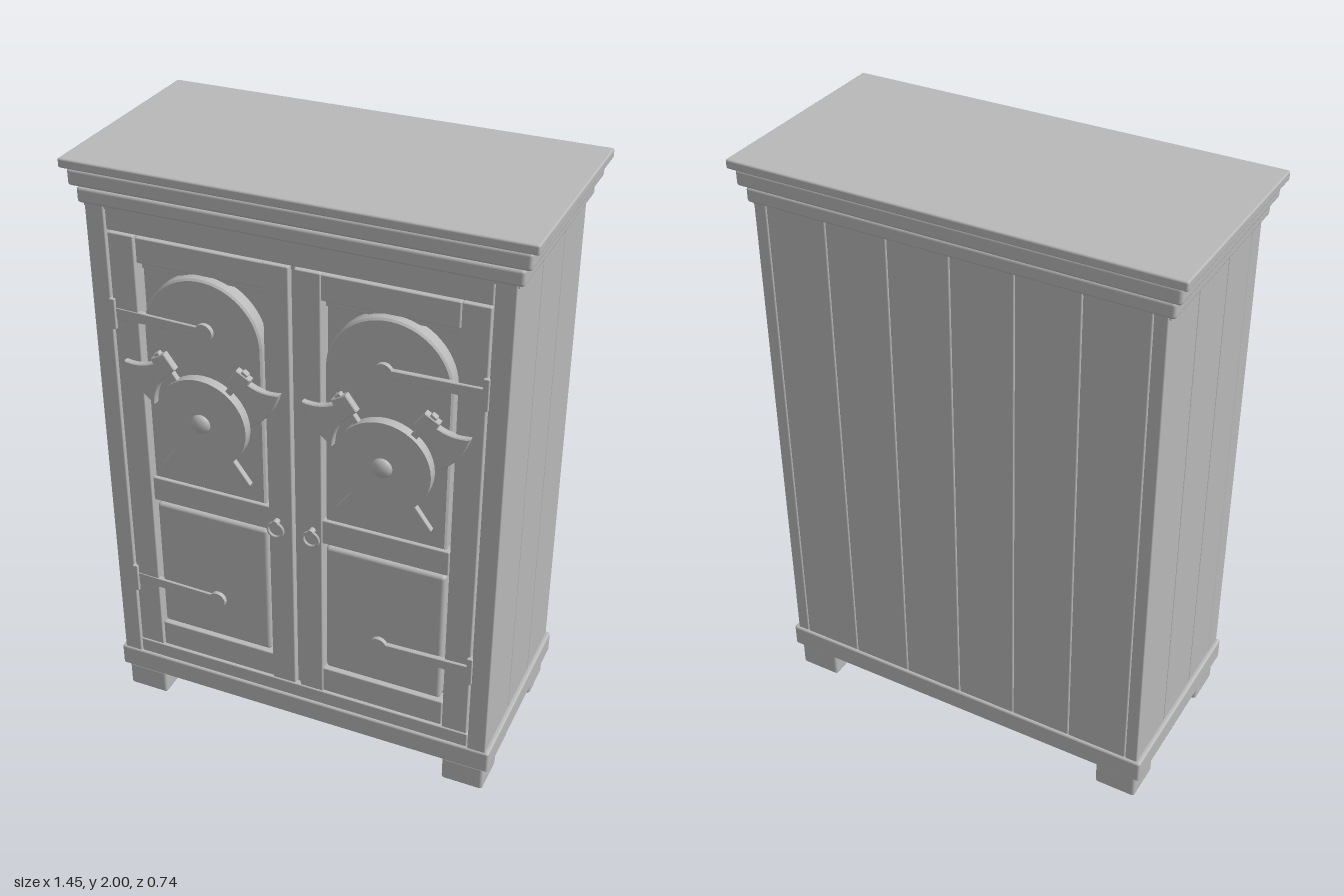
import * as THREE from 'three';
import { RoundedBoxGeometry } from 'three/addons/geometries/RoundedBoxGeometry.js';

export function createModel() {
  const model = new THREE.Group();
  model.name = 'cabinet';
  const grey = new THREE.MeshStandardMaterial({ color: 0xb8b8b8 });
  grey.name = 'plain grey';

  const add = (parent, name, geometry, x = 0, y = 0, z = 0) => {
    const mesh = new THREE.Mesh(geometry, grey);
    mesh.name = name;
    mesh.position.set(x, y, z);
    parent.add(mesh);
    return mesh;
  };
  // Soft-edged block given by its extents on each axis
  const block = (parent, name, [x0, x1], [y0, y1], [z0, z1], r = 0.006) => add(parent, name,
    new RoundedBoxGeometry(Math.abs(x1 - x0), y1 - y0, z1 - z0, 2, r),
    (x0 + x1) / 2, (y0 + y1) / 2, (z0 + z1) / 2);
  // Flat plate with a small chamfer, spanning z0 to z1
  const plate = (parent, name, shape, z0, z1, bevel = 0.003) => add(parent, name,
    new THREE.ExtrudeGeometry(shape, {
      depth: z1 - z0 - 2 * bevel, bevelThickness: bevel, bevelSize: bevel,
      bevelOffset: -bevel, bevelSegments: 1, curveSegments: 24,
    }), 0, 0, z0 + bevel);
  // Disc facing the front
  const disc = (parent, name, r, x, y, z0, z1) => {
    const geometry = new THREE.CylinderGeometry(r, r, z1 - z0, 40).rotateX(Math.PI / 2);
    return add(parent, name, geometry, x, y, (z0 + z1) / 2);
  };

  // Cornice, plinth and feet
  block(model, 'corniceTop', [-0.725, 0.725], [1.97, 2], [-0.37, 0.353]);
  block(model, 'corniceMiddle', [-0.705, 0.705], [1.915, 1.968], [-0.357, 0.343], 0.01);
  block(model, 'corniceLower', [-0.685, 0.685], [1.86, 1.91], [-0.342, 0.332], 0.01);
  block(model, 'corniceCore', [-0.67, 0.67], [1.85, 1.98], [-0.33, 0.32], 0.002);
  block(model, 'plinth', [-0.678, 0.678], [0.1, 0.18], [-0.345, 0.329], 0.008);
  for (const s of [-1, 1]) {
    for (const z of [-0.262, 0.247]) {
      block(model, 'foot', [s * 0.517, s * 0.66], [0.005, 0.097], [z - 0.07, z + 0.07], 0.01);
      block(model, 'footCore', [s * 0.53, s * 0.647], [0, 0.11], [z - 0.057, z + 0.057], 0.002);
    }
  }

  // Carcass core, with boards on the sides and back
  block(model, 'carcass', [-0.652, 0.652], [0.15, 1.88], [-0.325, 0.27], 0.002);
  const boardY = [0.17, 1.87];
  const step = 0.207;
  for (const s of [-1, 1]) {
    for (let i = 0; i < 3; i++) {
      const z = 0.291 - i * step;
      block(model, 'sideBoard', [s * 0.64, s * 0.664], boardY, [z - step + (i === 2 ? -0.006 : 0.001), z - 0.001], 0.004);
    }
    block(model, 'backEdge', [s * 0.622, s * 0.66], boardY, [-0.336, -0.31], 0.004);
    block(model, 'frontPost', [s * 0.603, s * 0.665], boardY, [0.25, 0.324], 0.004);
  }
  for (let i = 0; i < 6; i++) {
    const x = (i - 3) * step;
    block(model, 'backBoard', [x + 0.001, x + step - 0.001], boardY, [-0.336, -0.31], 0.004);
  }
  block(model, 'topRail', [-0.6, 0.6], [1.785, 1.87], [0.25, 0.32], 0.004);
  block(model, 'bottomRail', [-0.6, 0.6], [0.17, 0.231], [0.25, 0.32], 0.004);
  block(model, 'centreStrip', [-0.007, 0.007], [0.235, 1.78], [0.25, 0.305], 0.003);

  // Arched field of the upper panel
  const arch = new THREE.Shape();
  arch.moveTo(-0.197, 0.935);
  arch.lineTo(0.197, 0.935);
  arch.lineTo(0.197, 1.48);
  arch.absarc(0, 1.48, 0.197, 0, Math.PI, false);
  arch.closePath();

  // Axe head, with the handle along y and the blade towards +x
  const head = new THREE.Shape();
  head.moveTo(-0.027, 0.183);
  head.lineTo(0.03, 0.175);
  head.quadraticCurveTo(0.08, 0.165, 0.118, 0.118);
  head.quadraticCurveTo(0.152, 0.2, 0.118, 0.283);
  head.quadraticCurveTo(0.08, 0.242, 0.03, 0.234);
  head.lineTo(0.026, 0.25);
  head.lineTo(-0.027, 0.244);
  head.closePath();

  // Domed boss profile
  const boss = [];
  for (let i = 0; i <= 8; i++) {
    const a = (i / 8) * Math.PI / 2;
    boss.push(new THREE.Vector2(0.033 * Math.cos(a), 0.02 * Math.sin(a)));
  }

  for (const s of [-1, 1]) {
    const door = new THREE.Group();
    door.name = s > 0 ? 'leftDoor' : 'rightDoor';
    model.add(door);

    // Stiles, rails and panels
    block(door, 'outerStile', [s * 0.512, s * 0.597], [0.236, 1.779], [0.25, 0.322], 0.004);
    block(door, 'innerStile', [s * 0.009, s * 0.091], [0.236, 1.779], [0.25, 0.322], 0.004);
    for (const [y0, y1] of [[0.236, 0.332], [0.842, 0.93], [1.692, 1.775]]) {
      block(door, 'doorRail', [s * 0.088, s * 0.508], [y0, y1], [0.25, 0.316], 0.004);
    }
    block(door, 'recessLip', [s * 0.09, s * 0.51], [1.66, 1.692], [0.26, 0.283], 0.003);
    block(door, 'lowerPanel', [s * 0.101, s * 0.499], [0.344, 0.832], [0.25, 0.316], 0.012);
    plate(door, 'archedPanel', arch, 0.262, 0.316, 0.006).position.x = s * 0.3;

    // Strap hinges
    for (const y of [0.503, 1.51]) {
      block(door, 'hingePlate', [s * 0.587, s * 0.606], [y - 0.052, y + 0.052], [0.31, 0.332], 0.003);
      const strap = new THREE.Shape([
        [0.29, -0.013], [0.598, -0.02], [0.598, 0.02], [0.29, 0.013],
      ].map(([x, v]) => new THREE.Vector2(x - 0.44, v)));
      const mesh = plate(door, 'hingeStrap', strap, -0.009, 0.009, 0.002);
      mesh.position.set(s * 0.44, y, 0.313);
      mesh.position.z += 0.002;
      if (s < 0) mesh.rotation.y = Math.PI, mesh.position.z = 0.322;
      else mesh.position.z = 0.315;
      disc(door, 'hingeEnd', 0.029, s * 0.288, y, 0.31, 0.331);
    }

    // Crossed axes behind a round shield
    const crest = new THREE.Group();
    crest.name = 'crest';
    crest.position.set(s * 0.3, 1.203, 0);
    door.add(crest);
    for (const flip of [0, Math.PI]) {
      const axe = new THREE.Group();
      axe.name = 'axe';
      axe.position.z = 0.328;
      axe.rotation.set(0, flip, -0.635);
      crest.add(axe);
      block(axe, 'axeHandle', [-0.011, 0.011], [-0.25, 0.257], [-0.01, 0.01], 0.004);
      const blade = plate(axe, 'axeHead', head, 0, 0.026, 0.003);
      blade.position.z = -0.01;
    }
    disc(crest, 'shield', 0.153, 0, 0, 0.318, 0.351);
    add(crest, 'shieldBoss', new THREE.LatheGeometry(boss, 24).rotateX(Math.PI / 2), 0, 0, 0.349);

    // Ring pull
    add(door, 'ringPull', new THREE.TorusGeometry(0.026, 0.005, 8, 28), s * 0.061, 0.864, 0.338);
    disc(door, 'pullMount', 0.01, s * 0.061, 0.89, 0.316, 0.344);
  }

  return model;
}
